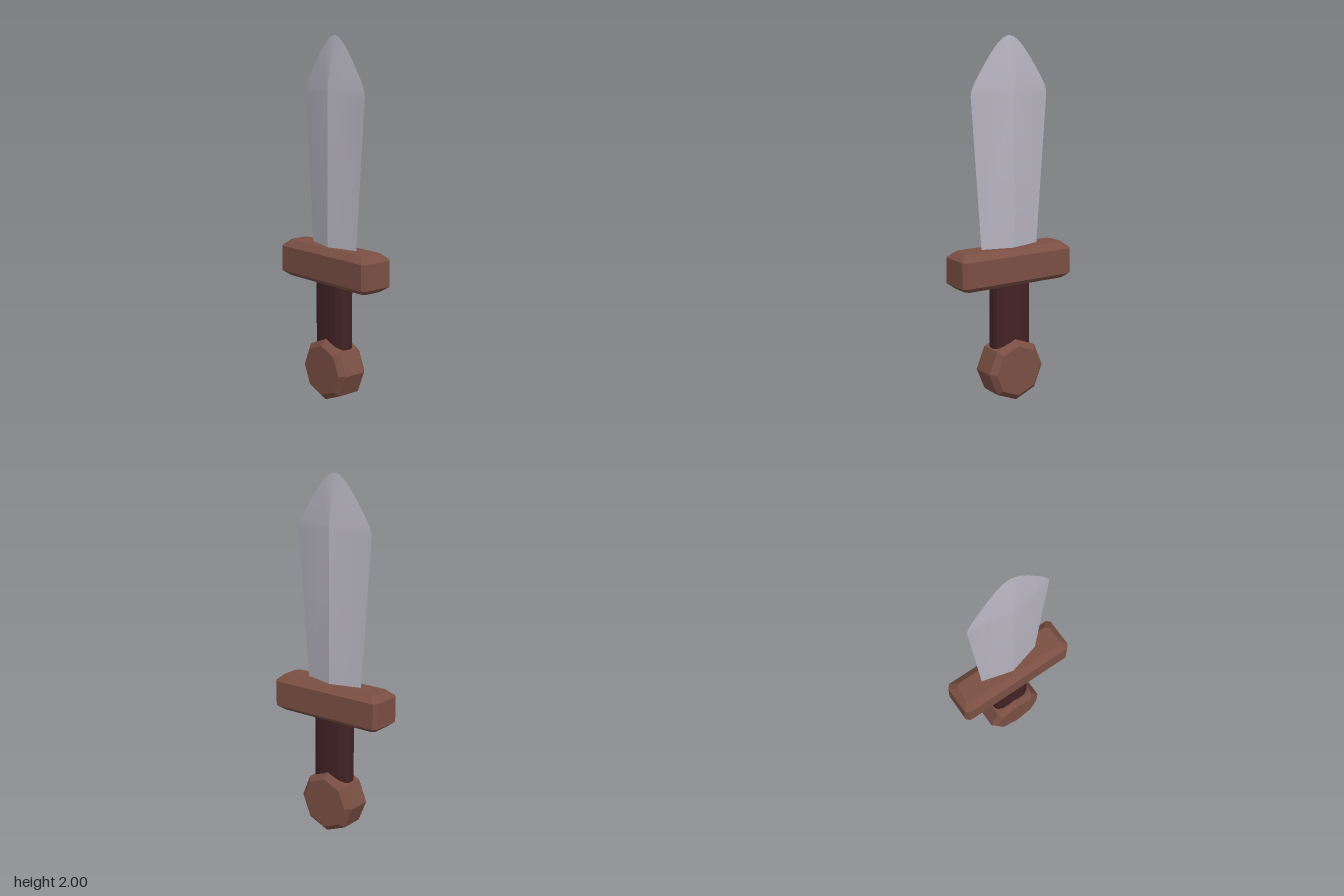
import * as THREE from 'three';
import { toCreasedNormals } from 'three/addons/utils/BufferGeometryUtils.js';

const material = (name, color, flatShading = true) => {
  const m = new THREE.MeshStandardMaterial({ color, flatShading });
  m.name = name;
  return m;
};

function fromPoints(points) {
  const g = new THREE.BufferGeometry();
  g.setAttribute('position', new THREE.Float32BufferAttribute(points.flat(), 3));
  g.computeVertexNormals();
  return g;
}

// Closed solid through stacked rings of [x, y, z] points
function loft(rings) {
  const out = [];
  const n = rings[0].length;
  const top = rings[rings.length - 1];
  for (let r = 0; r < rings.length - 1; r++) {
    for (let i = 0; i < n; i++) {
      const j = (i + 1) % n;
      const a = rings[r][i], b = rings[r][j], c = rings[r + 1][j], d = rings[r + 1][i];
      out.push(a, d, c, a, c, b);
    }
  }
  for (let i = 1; i < n - 1; i++) {
    out.push(rings[0][0], rings[0][i], rings[0][i + 1]);
    out.push(top[0], top[i + 1], top[i]);
  }
  return fromPoints(out);
}

// Mirror a quarter outline of [x, z] points, none on an axis, into a ring
function ring(quarter, y) {
  const back = [...quarter].reverse();
  return [
    ...quarter,
    ...back.map(([x, z]) => [-x, z]),
    ...quarter.map(([x, z]) => [-x, -z]),
    ...back.map(([x, z]) => [x, -z]),
  ].map(([x, z]) => [x, y, z]);
}

// Diamond-section blade with a curved point; facets fan out from the ridge peak
function bladeGeometry() {
  const tip = new THREE.CatmullRomCurve3([
    [0.238, 1.65], [0.24, 1.69], [0.228, 1.735], [0.16, 1.845],
    [0.085, 1.945], [0.035, 1.988], [0, 2],
  ].map(([x, y]) => new THREE.Vector3(x, y, 0)));
  const right = [[0.175, 0.8, 0], ...tip.getPoints(18).map(p => p.toArray())];
  const left = right.slice(0, -1).reverse().map(([x, y, z]) => [-x, y, z]);
  const depth = 0.048;
  const loop = [...right, ...left, [0, 0.8, depth]];
  const peak = [0, 1.72, depth];
  const front = [];
  loop.forEach((p, i) => front.push(peak, p, loop[(i + 1) % loop.length]));
  const back = [...front].reverse().map(([x, y, z]) => [x, y, -z]);
  return toCreasedNormals(fromPoints([...front, ...back]), 0.2);
}

export function createModel() {
  const group = new THREE.Group();
  const steel = material('steel', 0xb5b2be, false);
  const wood = material('brown wood', 0x7a4f43);
  const leather = material('dark leather', 0x432224);
  const add = (name, geometry, mat) => {
    const mesh = new THREE.Mesh(geometry, mat);
    mesh.name = name;
    group.add(mesh);
    return mesh;
  };

  add('blade', bladeGeometry(), steel);

  // Crossguard with bevelled edges and clipped corners
  const guardRing = (w, d, y) => ring([[w, d - 0.02], [w - 0.02, d]], y);
  add('crossguard', loft([
    guardRing(0.315, 0.067, 0.66),
    guardRing(0.35, 0.102, 0.688),
    guardRing(0.35, 0.102, 0.83),
    guardRing(0.312, 0.064, 0.865),
  ]), wood);

  // Flattened, faceted grip
  const gripOutline = [[0.115, 0.017], [0.106, 0.038], [0.075, 0.055], [0.03, 0.06]];
  add('grip', loft([ring(gripOutline, 0.25), ring(gripOutline, 0.7)]), leather);

  // Eight-sided bevelled pommel facing front and back
  const profile = [[0, -0.095], [0.142, -0.095], [0.174, -0.066],
    [0.174, 0.066], [0.142, 0.095], [0, 0.095]].map(p => new THREE.Vector2(...p));
  const pommel = add('pommel', new THREE.LatheGeometry(profile, 8), wood);
  pommel.rotation.x = Math.PI / 2;
  pommel.position.y = 0.176;

  return group;
}
